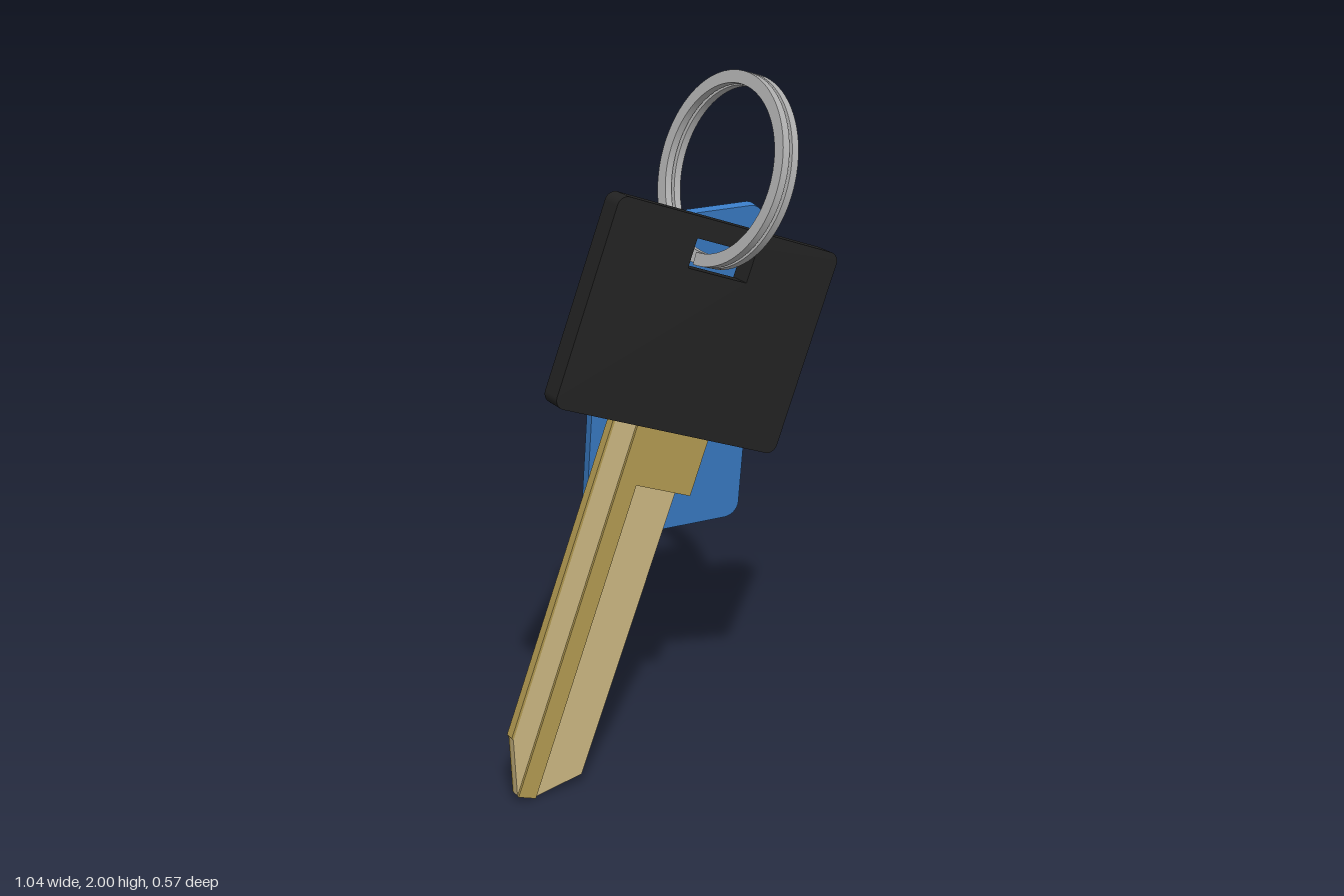
import * as THREE from 'three';

const paint = (name, color) => Object.assign(new THREE.MeshStandardMaterial({ color }), { name });

// Rectangle with rounded corners, centred on (x, y)
function roundedRect(w, h, r, x = 0, y = 0, P = THREE.Shape) {
  const p = new P(), a = w / 2 - r, b = h / 2 - r;
  p.absarc(x + a, y + b, r, 0, Math.PI / 2);
  p.absarc(x - a, y + b, r, Math.PI / 2, Math.PI);
  p.absarc(x - a, y - b, r, Math.PI, Math.PI * 1.5);
  p.absarc(x + a, y - b, r, Math.PI * 1.5, Math.PI * 2);
  p.closePath();
  return p;
}

const polygon = pts => new THREE.Shape(pts.map(([x, y]) => new THREE.Vector2(x, y)));

// Flat plate between two depths
function plate(parent, name, shape, z0, z1, material) {
  const geo = new THREE.ExtrudeGeometry(shape, { depth: z1 - z0, bevelEnabled: false, curveSegments: 10 });
  geo.translate(0, 0, z0);
  const mesh = new THREE.Mesh(geo, material);
  mesh.name = name;
  parent.add(mesh);
  return mesh;
}

// Rectangular wire wound almost two turns around the x axis
function splitRingGeometry(radius, halfRadial, halfAxial, pitch) {
  const start = 0, end = Math.PI * 4 - 0.75, steps = 150;
  const corners = [[1, -1], [1, 1], [-1, 1], [-1, -1]];
  const pos = [], index = [];
  const corner = (t, [cr, ca]) => {
    const turn = THREE.MathUtils.smoothstep(t, Math.PI * 2 - 0.7, Math.PI * 2 + 0.25);
    const r = radius + cr * halfRadial;
    pos.push((turn * 2 - 1) * pitch + ca * halfAxial, -Math.cos(t) * r, Math.sin(t) * r);
  };
  for (let side = 0; side < 4; side++) {
    const base = pos.length / 3;
    for (let i = 0; i <= steps; i++) {
      const t = start + (end - start) * i / steps;
      corner(t, corners[side]);
      corner(t, corners[(side + 1) % 4]);
      const k = base + i * 2;
      if (i < steps) index.push(k, k + 1, k + 2, k + 1, k + 3, k + 2);
    }
  }
  // end caps
  for (const t of [start, end]) {
    const k = pos.length / 3;
    corners.forEach(c => corner(t, c));
    if (t === end) index.push(k, k + 1, k + 2, k, k + 2, k + 3);
    else index.push(k, k + 2, k + 1, k, k + 3, k + 2);
  }
  const geo = new THREE.BufferGeometry();
  geo.setAttribute('position', new THREE.Float32BufferAttribute(pos, 3));
  geo.setIndex(index);
  geo.computeVertexNormals();
  return geo;
}

export function createModel() {
  const black = paint('black plastic', 0x222222);
  const brass = paint('brass', 0xb09850);
  const cutBrass = paint('pale cut brass', 0xc9b580);
  const blue = paint('blue plastic', 0x3a7dc8);
  const paper = paint('grey label', 0xc0c0c0);
  const steel = paint('steel', 0xb0b0b0);
  const model = new THREE.Group();
  model.name = 'keyWithTag';

  // Key: depths are measured from the middle of the head
  const key = new THREE.Group();
  key.name = 'key';
  key.position.set(0.065, 1.32, 0.075);
  key.rotation.z = -0.356;
  model.add(key);

  const head = roundedRect(0.75, 0.6, 0.03);
  head.holes.push(roundedRect(0.2, 0.085, 0.002, 0, 0.198, THREE.Path));
  plate(key, 'keyHead', head, -0.035, 0.035, black);

  // Blade: pale core, raised brass rib and collar in front, grooved brass back
  const top = -0.28;
  plate(key, 'bladeCore', polygon([[-0.16, top], [-0.16, -1.255], [-0.09, -1.417],
    [-0.033, -1.415], [0.097, -1.33], [0.107, top]]), -0.009, 0.012, cutBrass);
  plate(key, 'bladeRib', polygon([[-0.09, top], [-0.09, -1.418], [-0.033, -1.416],
    [-0.033, -0.469], [0.152, -0.469], [0.152, top]]), 0.012, 0.02, brass);
  plate(key, 'bladeCollar', polygon([[0.1, top], [0.1, -0.469], [0.152, -0.469], [0.152, top]]),
    -0.018, 0.012, brass);
  plate(key, 'bladeBackWide', polygon([[-0.035, top], [-0.035, -1.416], [-0.033, -1.416],
    [0.097, -1.33], [0.107, top]]), -0.018, -0.009, brass);
  plate(key, 'bladeBackNarrow', polygon([[-0.16, top], [-0.16, -1.255], [-0.09, -1.417],
    [-0.065, -1.417], [-0.065, top]]), -0.018, -0.009, brass);
  plate(key, 'bladeSpine', polygon([[-0.167, top], [-0.167, -1.25], [-0.16, -1.255], [-0.16, top]]),
    -0.018, 0.012, brass);

  // Tag with a recessed label on its back
  const tag = new THREE.Group();
  tag.name = 'tag';
  tag.position.set(0.136, 1.095, -0.176);
  tag.rotation.set(0.154, -0.05, 0.017);
  model.add(tag);
  const tagOutline = () => {
    const s = roundedRect(0.51, 1.015, 0.045);
    s.holes.push(new THREE.Path().absarc(-0.005, 0.435, 0.04, 0, Math.PI * 2));
    return s;
  };
  plate(tag, 'tagFront', tagOutline(), -0.005, 0.016, blue);
  const frame = tagOutline();
  frame.holes.push(roundedRect(0.33, 0.78, 0.04, 0, -0.04, THREE.Path));
  plate(tag, 'tagFrame', frame, -0.016, -0.005, blue);
  plate(tag, 'tagLabel', roundedRect(0.33, 0.78, 0.04, 0, -0.04), -0.01, -0.005, paper);

  // Split ring through the head slot and the tag hole
  const ring = new THREE.Mesh(splitRingGeometry(0.256, 0.018, 0.011, 0.016), steel);
  ring.name = 'splitRing';
  ring.position.set(0.203, 1.732, 0.012);
  ring.rotation.set(0, 0.07, -0.31, 'YXZ');
  model.add(ring);

  return model;
}
